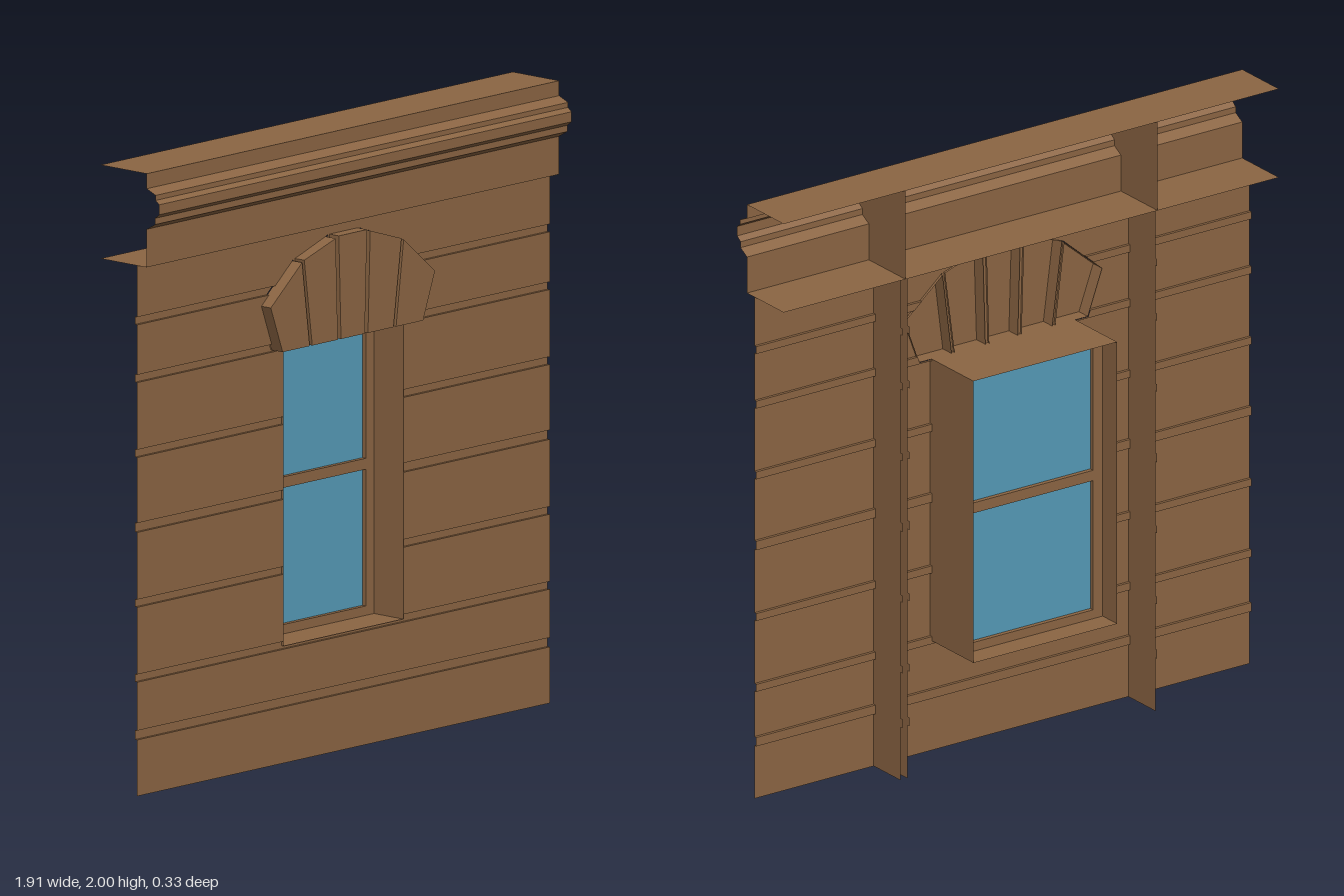
import * as THREE from 'three';

const brown = new THREE.MeshStandardMaterial({ color: 0x8b6543, side: THREE.DoubleSide, flatShading: true });
const blue = new THREE.MeshStandardMaterial({ color: 0x559ab7, side: THREE.DoubleSide });

const W = 0.955;          // half width of the wall
const FACE = 0.07;        // front plane of the boards
const FIN = 0.145;        // depth of the inner ribs
const BOTTOM = 0.375, HEAD = 1.33, JAMB = 0.277, BACK = -0.163;
const grooves = [[0.18, 0.21], [0.365, 0.39], [0.605, 0.63], [0.845, 0.875], [1.085, 1.11], [1.325, 1.35], [1.51, 1.535]];
const archEdge = [[0.325, 1.33], [0.38, 1.48], [0.235, 1.605], [0.075, 1.66]];

// Thin surface made of four-cornered faces
function sheet(name, quads, material = brown) {
  const pos = [];
  for (const [a, b, c, d] of quads) pos.push(...a, ...b, ...c, ...a, ...c, ...d);
  const g = new THREE.BufferGeometry();
  g.setAttribute('position', new THREE.Float32BufferAttribute(pos, 3));
  g.computeVertexNormals();
  const m = new THREE.Mesh(g, material);
  m.name = name;
  return m;
}

function box(name, x0, x1, y0, y1, z0, z1) {
  const m = new THREE.Mesh(new THREE.BoxGeometry(x1 - x0, y1 - y0, z1 - z0), brown);
  m.position.set((x0 + x1) / 2, (y0 + y1) / 2, (z0 + z1) / 2);
  m.name = name;
  return m;
}

// Half width of the opening (window, then arch) at height y
function openingAt(y) {
  if (y < BOTTOM || y > 1.66) return 0;
  if (y < HEAD) return JAMB;
  for (let i = 0; i < 3; i++) {
    const [xa, ya] = archEdge[i], [xb, yb] = archEdge[i + 1];
    if (y <= yb) return xa + (xb - xa) * (y - ya) / (yb - ya);
  }
  return 0;
}

const levels = [0, BOTTOM, 1.7, ...grooves.flat(), ...archEdge.map(p => p[1])].sort((a, b) => a - b);
const boardZ = y => grooves.some(([a, b]) => y > a && y < b) ? FACE - 0.01 : FACE;

function buildWall() {
  const quads = [];
  for (let i = 0; i + 1 < levels.length; i++) {
    const a = levels[i], b = levels[i + 1];
    if (b - a < 1e-6) continue;
    const z = boardZ((a + b) / 2), ia = openingAt(a + 1e-5), ib = openingAt(b - 1e-5);
    quads.push([[ia, a, z], [W, a, z], [W, b, z], [ib, b, z]]);
    quads.push([[-W, a, z], [-ia, a, z], [-ib, b, z], [-W, b, z]]);
  }
  // Ledges of the grooves
  for (const y of grooves.flat()) {
    const i = openingAt(y);
    for (const s of [-1, 1])
      quads.push([[s * i, y, FACE], [s * W, y, FACE], [s * W, y, FACE - 0.01], [s * i, y, FACE - 0.01]]);
  }
  return sheet('boardedWall', quads);
}

// Upright rib behind the wall, following the grooves front and back
function buildRib(x) {
  const quads = [];
  for (let i = 0; i + 1 < levels.length; i++) {
    const a = levels[i], b = levels[i + 1], z = boardZ((a + b) / 2);
    if (b - a > 1e-6) quads.push([[x, a, z], [x, a, z - FIN], [x, b, z - FIN], [x, b, z]]);
  }
  return sheet('wallRib', quads);
}

// Moulded cornice, open at the back and the ends
function buildCornice() {
  const g = new THREE.Group();
  g.name = 'cornice';
  const profile = [[-0.087, 1.7], [0.11, 1.7], [0.11, 1.822], [0.145, 1.842], [0.145, 1.862], [0.163, 1.876],
    [0.163, 1.908], [0.148, 1.92], [0.148, 1.936], [0.11, 1.952], [0.11, 2], [-0.087, 2]];
  const quads = [];
  for (let i = 0; i + 1 < profile.length; i++) {
    const [za, ya] = profile[i], [zb, yb] = profile[i + 1];
    quads.push([[-W, ya, za], [W, ya, za], [W, yb, zb], [-W, yb, zb]]);
  }
  g.add(sheet('corniceMoulding', quads));
  const shape = new THREE.Shape(profile.map(([z, y]) => new THREE.Vector2(-z, y)));
  for (const x of [0.485, -0.487]) {
    const rib = new THREE.Mesh(new THREE.ShapeGeometry(shape), brown);
    rib.rotation.y = Math.PI / 2;
    rib.position.x = x;
    rib.name = 'corniceRib';
    g.add(rib);
  }
  return g;
}

// Fan of five hollow arch stones with recessed joints
function buildArch() {
  const g = new THREE.Group();
  g.name = 'arch';
  const y = HEAD, front = 0.11, rear = 0.062;
  const side = [
    [[0.20, y], [0.325, y], [0.38, 1.48], [0.235, 1.603]],
    [[0.07, y], [0.188, y], [0.225, 1.609], [0.08, 1.656]],
  ];
  const mirror = s => s.map(([x, h]) => [-x, h]);
  const stones = [...side, ...side.map(mirror), [[-0.055, y], [0.055, y], [0.065, 1.662], [-0.065, 1.662]]];
  for (const s of stones) {
    const quads = [s.map(p => [...p, front])];
    s.forEach((p, i) => {
      const q = s[(i + 1) % 4];
      quads.push([[...p, rear], [...q, rear], [...q, front], [...p, front]]);
    });
    g.add(sheet('archStone', quads));
  }
  const joints = [
    [[0.188, y], [0.20, y], [0.235, 1.603], [0.225, 1.609]],
    [[0.055, y], [0.07, y], [0.08, 1.656], [0.065, 1.662]],
  ];
  for (const j of [...joints, ...joints.map(mirror)])
    g.add(sheet('archJoint', [j.map(p => [...p, FACE])]));
  return g;
}

function buildWindow() {
  const g = new THREE.Group();
  g.name = 'window';
  // Deep open casing around the opening
  const ring = [[-JAMB, BOTTOM], [JAMB, BOTTOM], [JAMB, HEAD], [-JAMB, HEAD]];
  g.add(sheet('casing', ring.map((p, i) => {
    const q = ring[(i + 1) % 4];
    return [[...p, FACE], [...q, FACE], [...q, BACK], [...p, BACK]];
  })));
  // Sash bars
  const z0 = -0.085, z1 = -0.055, gx = 0.24;
  for (const s of [-1, 1])
    g.add(box('sashStile', Math.min(s * gx, s * JAMB), Math.max(s * gx, s * JAMB), BOTTOM, HEAD, z0, z1));
  for (const [a, b] of [[BOTTOM, 0.405], [0.843, 0.878], [1.313, HEAD]])
    g.add(box('sashRail', -gx, gx, a, b, z0, z1));
  // Glass panes
  for (const [a, b] of [[0.405, 0.843], [0.878, 1.313]])
    g.add(sheet('glassPane', [[[-gx, a, -0.07], [gx, a, -0.07], [gx, b, -0.07], [-gx, b, -0.07]]], blue));
  return g;
}

export function createModel() {
  const model = new THREE.Group();
  model.name = 'wallWithWindow';
  model.add(buildWall(), buildCornice(), buildArch(), buildWindow());
  for (const x of [0.495, 0.468, -0.487]) model.add(buildRib(x));
  return model;
}
